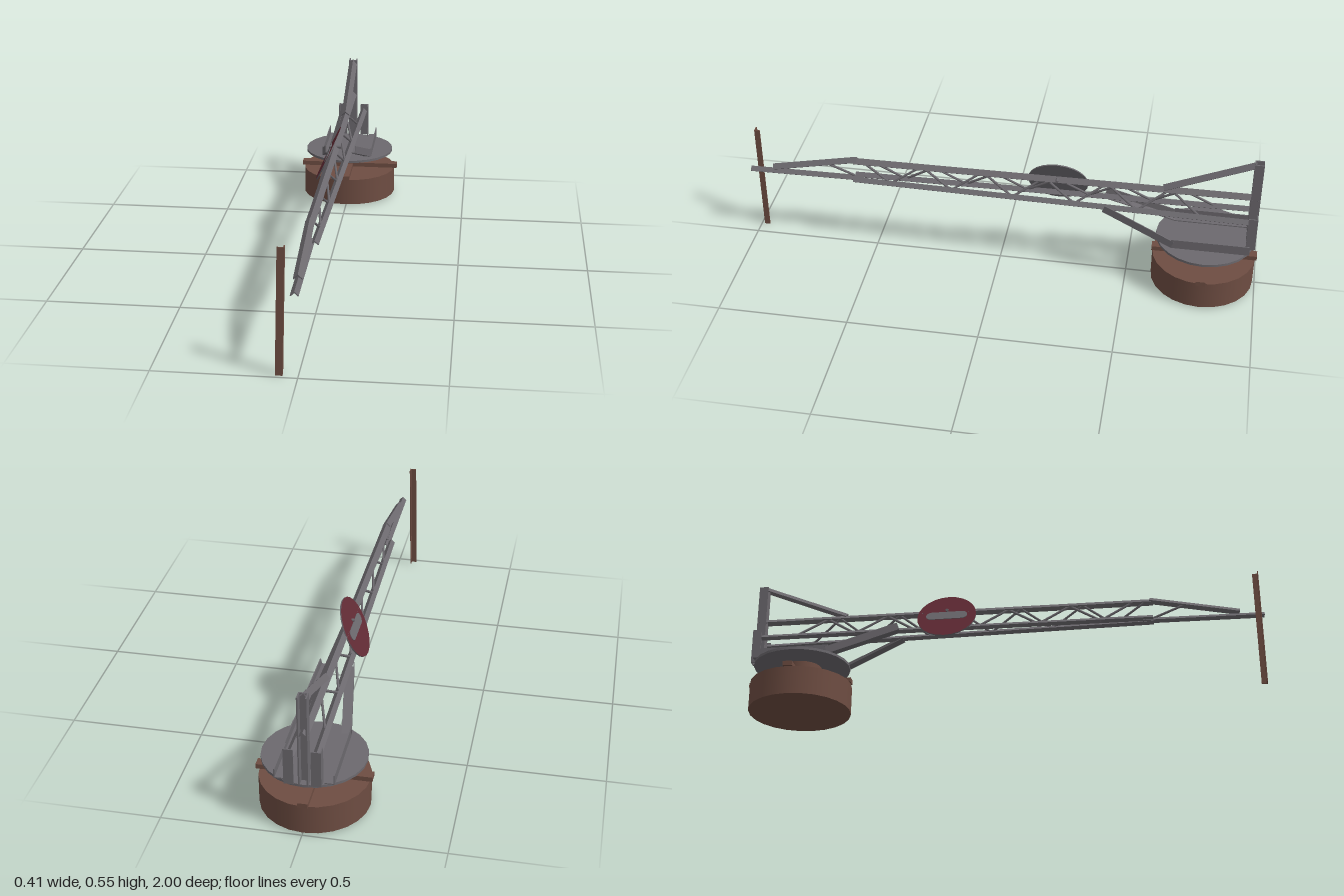
import * as THREE from 'three';

const mat = (name, color) => {
  const m = new THREE.MeshStandardMaterial({ color });
  m.name = name;
  return m;
};

export function createModel() {
  const model = new THREE.Group();
  const steel = mat('grey steel', 0x6c696e);
  const rust = mat('rusty brown', 0x6e4d42);
  const red = mat('dark red', 0x622b35);
  const V = (x, y, z) => new THREE.Vector3(x, y, z);

  const add = (name, geo, material, x = 0, y = 0, z = 0) => {
    const mesh = new THREE.Mesh(geo, material);
    mesh.name = name;
    mesh.position.set(x, y, z);
    model.add(mesh);
    return mesh;
  };
  const box = (name, w, h, d, material, x, y, z) =>
    add(name, new THREE.BoxGeometry(w, h, d), material, x, y, z);
  const drum = (name, r, y0, y1, material, x, z, n = 24) =>
    add(name, new THREE.CylinderGeometry(r, r, y1 - y0, n), material, x, (y0 + y1) / 2, z);

  // Turns a mesh so its local z runs from a to b
  const aim = (mesh, a, b) => {
    const dir = b.clone().sub(a).normalize();
    const ref = Math.abs(dir.y) > 0.9 ? V(0, 0, 1) : V(0, 1, 0);
    const ax = ref.cross(dir).normalize();
    const ay = dir.clone().cross(ax);
    mesh.quaternion.setFromRotationMatrix(new THREE.Matrix4().makeBasis(ax, ay, dir));
    mesh.position.copy(a);
    return mesh;
  };

  // Angle iron from a to b: lx and ly are signed leg lengths, roll turns the section
  const angle = (name, a, b, lx, ly, roll = 0, material = steel, t = 0.004) => {
    const tx = t * Math.sign(lx), ty = t * Math.sign(ly);
    const pts = [[0, 0], [lx, 0], [lx, ty], [tx, ty], [tx, ly], [0, ly]]
      .map(([x, y]) => new THREE.Vector2(x, y).rotateAround(new THREE.Vector2(), roll));
    const geo = new THREE.ExtrudeGeometry(new THREE.Shape(pts), { depth: a.distanceTo(b), bevelEnabled: false });
    return aim(add(name, geo, material), a, b);
  };
  const ridge = (name, a, b, leg) => angle(name, a, b, leg, leg, -Math.PI * 0.75);

  const rod = (name, a, b, r = 0.005) => {
    const geo = new THREE.CylinderGeometry(r, r, a.distanceTo(b), 6);
    geo.rotateX(Math.PI / 2).translate(0, 0, a.distanceTo(b) / 2);
    return aim(add(name, geo, steel), a, b);
  };

  // Base drum with crossed rails, pivot and turntable
  const cx = -0.003, cz = -0.795;
  drum('baseDrum', 0.197, 0.005, 0.116, rust, cx, cz);
  box('baseRailAcross', 0.414, 0.018, 0.036, rust, cx + 0.002, 0.125, cz);
  box('baseRailAlong', 0.036, 0.018, 0.404, rust, cx - 0.001, 0.1248, cz - 0.002);
  drum('pivotShaft', 0.011, 0.116, 0.152, rust, cx, cz, 12);
  drum('pivotHub', 0.077, 0.15, 0.19, rust, cx, cz);
  drum('turntable', 0.187, 0.19, 0.2, steel, cx, cz);

  // Rear mast as a channel, with its sloping stay
  box('mastWeb', 0.035, 0.35, 0.005, steel, -0.005, 0.375, -0.953);
  for (const s of [-1, 1]) {
    box('mastFlange', 0.005, 0.35, 0.032, steel, -0.005 + s * 0.015, 0.375, -0.97);
  }
  ridge('mastStay', V(-0.005, 0.554, -0.955), V(-0.005, 0.415, -0.62), 0.025);

  // Long arm: one upper chord and two lower chords
  const topAt = z => V(-0.005 - 0.005 * (z + 0.98) / 1.56, 0.41 - 0.013 * (z + 0.98) / 1.56, z);
  const lowAt = (s, z) => {
    const k = (z + 0.98) / 1.56;
    return V(-0.003 - 0.008 * k + s * (0.045 - 0.027 * k), 0.324 - 0.004 * k, z);
  };
  ridge('upperChord', topAt(-0.98), topAt(0.58), 0.025);

  for (const s of [-1, 1]) {
    ridge('lowerChord', lowAt(s, -0.975), lowAt(s, 0.58), 0.021);

    // Short rear posts and the turntable side rails with their braces
    angle('rearPost', V(-0.002 + s * 0.065, 0.2, -0.985), V(-0.002 + s * 0.065, 0.34, -0.985), s * 0.035, 0.035);
    const corner = V(-0.003 + s * 0.105, 0.202, -0.67);
    angle('sideRail', V(corner.x, 0.202, -0.965), corner, -s * 0.035, 0.037);
    angle('sideBrace', corner, V(-0.003 + s * 0.062, 0.307, -0.4), -s * 0.036, 0.03);

    // Lattice rods zigzagging between the chords, staggered side to side
    const step = 0.12;
    for (let i = 0; i < 11; i++) {
      const z0 = -0.82 + i * step + (s > 0 ? 0.05 : 0), z1 = z0 + step;
      const up = i % 2 === 0;
      const a = up ? lowAt(s, z0) : topAt(z0);
      const b = up ? topAt(z1) : lowAt(s, z1);
      for (const p of [a, b]) p.y -= 0.012;
      rod('latticeRod', a, b);
    }
  }

  // Tapered tip of the arm
  ridge('tipChord', V(-0.011, 0.318, 0.54), V(-0.009, 0.314, 1), 0.021);
  ridge('tipSlope', V(-0.01, 0.403, 0.57), V(-0.009, 0.334, 0.91), 0.024);
  rod('tipStrut', V(-0.011, 0.315, 0.58), V(-0.01, 0.368, 0.71));

  // Tilted round sign with a rounded bar, fixed to the side of the arm
  const sign = new THREE.Group();
  sign.name = 'sign';
  sign.position.set(-0.031, 0.367, -0.22);
  sign.rotation.z = 1.135;
  const disc = new THREE.Mesh(new THREE.CylinderGeometry(0.116, 0.116, 0.005, 24), [steel, red, steel]);
  disc.name = 'signDisc';
  const h = 0.06, r = 0.021;
  const stadium = new THREE.Shape();
  stadium.absarc(h, 0, r, -Math.PI / 2, Math.PI / 2);
  stadium.absarc(-h, 0, r, Math.PI / 2, Math.PI * 1.5);
  const barGeo = new THREE.ExtrudeGeometry(stadium, { depth: 0.003, bevelEnabled: false, curveSegments: 8 });
  barGeo.rotateX(-Math.PI / 2).rotateY(Math.PI / 2);
  const bar = new THREE.Mesh(barGeo, steel);
  bar.name = 'signBar';
  bar.position.y = 0.002;
  sign.add(disc, bar);
  model.add(sign);
  rod('signBolt', V(-0.03, 0.395, -0.22), V(0.018, 0.395, -0.22), 0.006);

  // Leaning end post of angle iron
  angle('endPost', V(-0.053, 0, 0.988), V(-0.042, 0.46, 0.985), 0.025, -0.022, 0, rust);

  return model;
}
